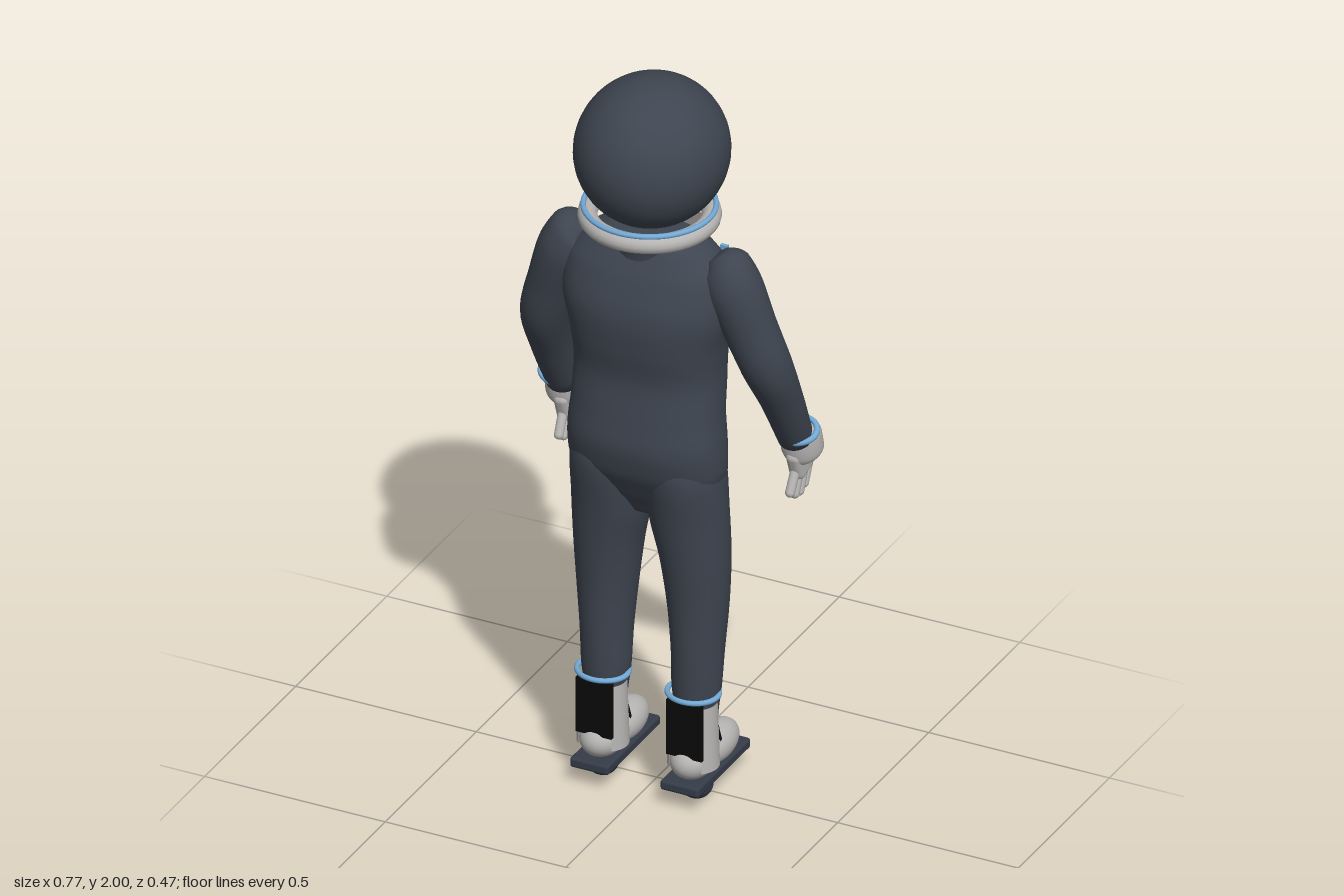
import * as THREE from 'three';
import { RoundedBoxGeometry } from 'three/addons/geometries/RoundedBoxGeometry.js';

const mat = (name, color, side = THREE.FrontSide) => {
  const m = new THREE.MeshStandardMaterial({ color, side });
  m.name = name;
  return m;
};

// Smooth skin over rings [x, y, z, halfWidth, halfDepth]; tilted rings follow the path
function loft(rings, { tilt = false, power = 1, seg = 32 } = {}) {
  const steps = (rings.length - 1) * 5;
  const path = new THREE.CatmullRomCurve3(rings.map(r => new THREE.Vector3(r[0], r[1], r[2])));
  const size = new THREE.CatmullRomCurve3(rings.map(r => new THREE.Vector3(r[3], r[4], 0)));
  const pos = [], index = [];
  const bend = v => Math.sign(v) * Math.abs(v) ** power;
  for (let i = 0; i <= steps; i++) {
    const t = i / steps, c = path.getPoint(t), s = size.getPoint(t);
    const dir = tilt ? path.getTangent(t) : new THREE.Vector3(0, -1, 0);
    const v = new THREE.Vector3(1, 0, 0).cross(dir).normalize();
    const u = dir.clone().cross(v).normalize();
    for (let j = 0; j < seg; j++) {
      const a = j / seg * Math.PI * 2;
      const p = c.clone().addScaledVector(u, bend(Math.cos(a)) * s.x).addScaledVector(v, bend(Math.sin(a)) * s.y);
      pos.push(p.x, p.y, p.z);
      if (i < steps) {
        const k = i * seg + j, n = i * seg + (j + 1) % seg;
        index.push(k, k + seg, n, n, k + seg, n + seg);
      }
    }
  }
  // closing caps
  for (const [ring, top] of [[0, true], [steps, false]]) {
    const c = path.getPoint(ring / steps), centre = pos.length / 3, b = ring * seg;
    pos.push(c.x, c.y, c.z);
    for (let j = 0; j < seg; j++) {
      const k = b + j, n = b + (j + 1) % seg;
      index.push(...(top ? [k, n, centre] : [n, k, centre]));
    }
  }
  const g = new THREE.BufferGeometry();
  g.setAttribute('position', new THREE.Float32BufferAttribute(pos, 3));
  g.setIndex(index);
  g.computeVertexNormals();
  return g;
}

export function createModel() {
  const model = new THREE.Group();
  model.name = 'spaceSuit';
  const suit = mat('suitSlate', 0x3e4550);
  const sole = mat('soleSlate', 0x353c49);
  const grey = mat('lightGrey', 0xb6b5b3, THREE.DoubleSide);
  const blue = mat('trimBlue', 0x72a9d6);
  const black = mat('black', 0x0a0a0a);
  const navy = mat('strapNavy', 0x2a3a66);

  const add = (name, geo, m, p = [0, 0, 0], scale = [1, 1, 1], parent = model) => {
    const mesh = new THREE.Mesh(geo, m);
    mesh.name = name;
    mesh.position.set(...p);
    mesh.scale.set(...scale);
    parent.add(mesh);
    return mesh;
  };
  const ball = new THREE.SphereGeometry(1, 48, 32);
  const ring = (r, tube) => new THREE.TorusGeometry(r, tube, 14, 48).rotateX(Math.PI / 2);
  // Rounded finger between two points
  const finger = (name, a, b, r, parent) => {
    const p = new THREE.Vector3(...a), q = new THREE.Vector3(...b), d = q.clone().sub(p);
    const mesh = add(name, new THREE.CapsuleGeometry(r, d.length(), 6, 12), grey, p.clone().add(q).multiplyScalar(0.5).toArray(), [1, 1, 1], parent);
    mesh.quaternion.setFromUnitVectors(new THREE.Vector3(0, 1, 0), d.normalize());
  };

  // Helmet, collar and neck
  add('helmet', ball, suit, [0, 1.805, 0.027], [0.194, 0.195, 0.205]);
  add('collar', ring(0.154, 0.025), grey, [0, 1.629, 0.04]);
  add('collarTrim', ring(0.165, 0.007), blue, [0, 1.656, 0.04]);
  const neck = [[0.095, 1.54], [0.1, 1.59], [0.115, 1.603], [0.155, 1.645]].map(p => new THREE.Vector2(...p));
  add('neck', new THREE.LatheGeometry(neck, 48), suit, [0, 0, 0.035]);

  // Torso down to the crotch
  add('torso', loft([
    [0, 1.59, 0.03, 0.10, 0.06], [0, 1.565, 0.03, 0.16, 0.085], [0, 1.5, 0.035, 0.215, 0.115],
    [0, 1.4, 0.04, 0.225, 0.14], [0, 1.3, 0.04, 0.205, 0.135], [0, 1.2, 0.035, 0.198, 0.125],
    [0, 1.1, 0.047, 0.2, 0.124], [0, 1.02, 0.052, 0.207, 0.127], [0, 0.94, 0.047, 0.208, 0.115],
    [0, 0.86, 0.036, 0.17, 0.085], [0, 0.8, 0.035, 0.06, 0.05],
  ], { power: 0.85, seg: 48 }), suit);

  // Chest plates, standing off the front of the suit
  const plates = new THREE.Group();
  plates.name = 'chestPlates';
  model.add(plates);
  const plate = (name, w, h, d, m, p, tilt) => {
    add(name, new THREE.BoxGeometry(w, h, d), m, p, [1, 1, 1], plates).rotation.x = tilt;
  };
  plate('namePlate', 0.18, 0.06, 0.014, grey, [0, 1.54, -0.135], 0.35);
  plate('strap', 0.05, 0.34, 0.008, navy, [0, 1.35, -0.154], 0.05);
  plate('pocket', 0.065, 0.09, 0.008, grey, [-0.105, 1.415, -0.157], 0.05);
  plate('pocketFlap', 0.072, 0.02, 0.009, blue, [-0.105, 1.465, -0.165], 0.05);
  plate('badge', 0.02, 0.014, 0.009, blue, [0.105, 1.455, -0.163], 0.05);

  for (const s of [1, -1]) {
    const side = s > 0 ? 'left' : 'right';
    const arm = new THREE.Group(), leg = new THREE.Group();
    arm.name = side + 'Arm';
    leg.name = side + 'Leg';
    model.add(arm, leg);

    // Sleeve with a bent elbow
    add('sleeve', loft([
      [s * 0.185, 1.555, 0.035, 0.03, 0.03], [s * 0.207, 1.53, 0.035, 0.065, 0.062], [s * 0.232, 1.47, 0.035, 0.075, 0.072],
      [s * 0.268, 1.37, 0.025, 0.07, 0.066], [s * 0.304, 1.26, 0.005, 0.066, 0.063],
      [s * 0.318, 1.14, -0.05, 0.056, 0.052], [s * 0.321, 0.99, -0.125, 0.046, 0.043],
    ], { tilt: true }), suit, [0, 0, 0], [1, 1, 1], arm);

    // Wrist ring, buried at the front by the raised glove cuff
    add('wristRing', ring(0.052, 0.008), blue, [s * 0.327, 1.015, -0.12], [1, 1, 0.82], arm).rotation.x = 0.45;
    add('gloveCuff', loft([
      [s * 0.325, 1.022, -0.142, 0.046, 0.038], [s * 0.326, 1.0, -0.143, 0.053, 0.047],
      [s * 0.326, 0.95, -0.153, 0.054, 0.052], [s * 0.325, 0.928, -0.163, 0.03, 0.04],
    ], { tilt: true }), grey, [0, 0, 0], [1, 1, 1], arm);
    add('palm', new RoundedBoxGeometry(0.042, 0.09, 0.1, 4, 0.018), grey, [s * 0.322, 0.922, -0.155], [1, 1, 1], arm).rotation.x = 0.35;
    for (let i = 0; i < 4; i++) {
      const z = -0.114 - i * 0.025, tip = [0.845, 0.83, 0.825, 0.835][i];
      finger('finger', [s * 0.322, 0.905, z - 0.012], [s * 0.32, tip, z + 0.018], 0.0125, arm);
    }
    finger('thumbBase', [s * 0.332, 0.94, -0.2], [s * 0.33, 0.92, -0.217], 0.018, arm);
    finger('thumb', [s * 0.33, 0.918, -0.217], [s * 0.289, 0.892, -0.217], 0.014, arm);

    // Trouser leg
    add('trouserLeg', loft([
      [s * 0.1, 1.03, 0.05, 0.078, 0.09], [s * 0.105, 0.93, 0.047, 0.1, 0.108], [s * 0.107, 0.8, 0.035, 0.102, 0.098],
      [s * 0.119, 0.68, 0.026, 0.09, 0.09], [s * 0.125, 0.55, 0.022, 0.078, 0.08],
      [s * 0.126, 0.42, 0.025, 0.067, 0.071], [s * 0.125, 0.31, 0.03, 0.063, 0.06],
      [s * 0.125, 0.24, 0.028, 0.053, 0.055], [s * 0.125, 0.13, 0.03, 0.047, 0.048],
    ]), suit, [0, 0, 0], [1, 1, 1], leg);

    // Ankle ring, boot shell halves and black panels
    const x = s * 0.125;
    add('ankleRing', ring(0.066, 0.007), blue, [x, 0.302, 0.049], [1, 1, 0.9], leg);
    for (const start of [0.75, Math.PI * 2 - 2.45]) {
      add('bootShell', new THREE.CylinderGeometry(0.061, 0.067, 0.18, 20, 4, true, start, 1.7), grey, [x, 0.19, 0.048], [1, 1, 0.92], leg);
    }
    add('heelPanel', new THREE.BoxGeometry(0.098, 0.155, 0.012), black, [x, 0.216, 0.095], [1, 1, 1], leg);
    const wedge = new THREE.Shape([[-0.042, 0.12], [0.042, 0.12], [0.005, 0.27], [-0.005, 0.27]].map(p => new THREE.Vector2(...p)));
    add('anklePanel', new THREE.ExtrudeGeometry(wedge, { depth: 0.008, bevelEnabled: false }), black, [x, 0, -0.033], [1, 1, 1], leg);

    // Foot: heel and toe masses on a flat sole with a round stud beneath
    add('heel', ball, grey, [x, 0.114, 0.053], [0.055, 0.05, 0.064], leg);
    add('toe', ball, grey, [x, 0.103, -0.06], [0.053, 0.05, 0.1], leg);
    add('sole', new RoundedBoxGeometry(0.107, 0.028, 0.292, 3, 0.008), sole, [x, 0.062, -0.018], [1, 1, 1], leg);
    add('soleStud', ball, sole, [s * 0.13, 0.04, 0.04], [0.042, 0.04, 0.042], leg);
  }
  return model;
}
